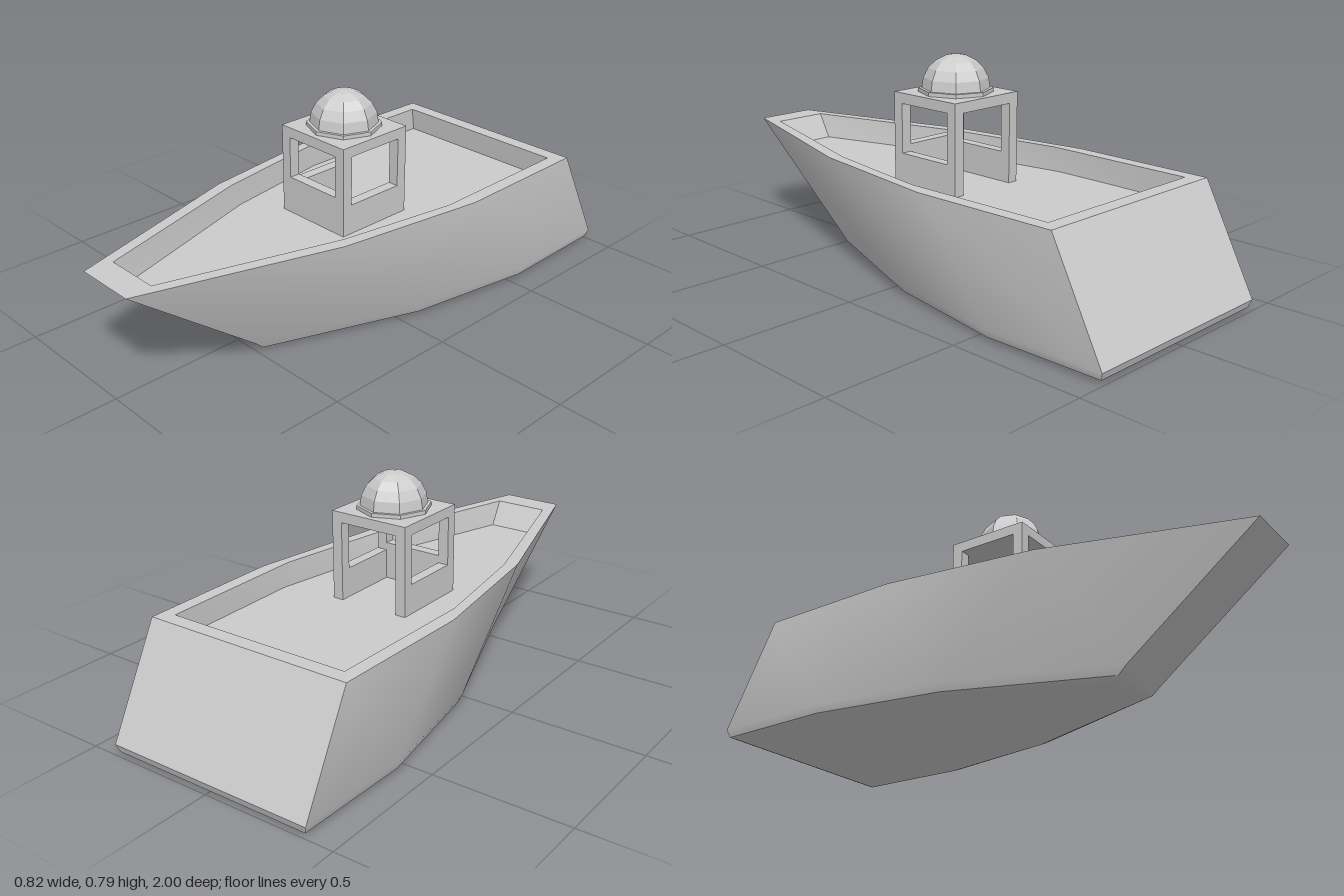
import * as THREE from 'three';
import { toCreasedNormals } from 'three/addons/utils/BufferGeometryUtils.js';

const DECK = 0.33, CABIN_Z = -0.01;

// Mirrors four half-outline points [x, z] (stern to bow) into a closed loop at height y
function ring(y, half) {
  const left = half.map(([x, z]) => [x, y, z]);
  const right = half.map(([x, z]) => [-x, y, z]).reverse();
  return [...left, ...right];
}

// Skins consecutive rings and closes the first and last with flat caps
function loft(rings) {
  const pos = [];
  const quad = (a, b, c, d) => pos.push(...a, ...b, ...c, ...a, ...c, ...d);
  const n = rings[0].length;
  for (let r = 0; r < rings.length - 1; r++) {
    const lo = rings[r], hi = rings[r + 1];
    for (let i = 0; i < n; i++) {
      const j = (i + 1) % n;
      quad(lo[i], hi[i], hi[j], lo[j]);
    }
  }
  const first = rings[0], last = rings[rings.length - 1];
  for (let i = 0; i < n / 2 - 1; i++) {
    const k = n - 1 - i;
    quad(last[i], last[k], last[k - 1], last[i + 1]);
    quad(first[i], first[i + 1], first[k - 1], first[k]);
  }
  const g = new THREE.BufferGeometry();
  g.setAttribute('position', new THREE.Float32BufferAttribute(pos, 3));
  return toCreasedNormals(g, 0.5);
}

export function createModel() {
  const model = new THREE.Group();
  model.name = 'boat';
  const smooth = new THREE.MeshStandardMaterial({ color: 0xcccccc });
  const faceted = new THREE.MeshStandardMaterial({ color: 0xcccccc, flatShading: true });

  const add = (parent, name, geometry, material, x = 0, y = 0, z = 0) => {
    const mesh = new THREE.Mesh(geometry, material);
    mesh.name = name;
    mesh.position.set(x, y, z);
    parent.add(mesh);
    return mesh;
  };

  // Hull: softened keel edge, raked sides, flat rim and recessed deck
  add(model, 'hull', loft([
    ring(0, [[0.36, -0.96], [0.37, -0.545], [0.295, -0.085], [0.1, 0.45]]),
    ring(0.012, [[0.39, -0.99], [0.4, -0.548], [0.32, -0.075], [0.112, 0.48]]),
    ring(0.04, [[0.4, -1], [0.41, -0.545], [0.33, -0.06], [0.115, 0.51]]),
    ring(0.42, [[0.4, -0.8], [0.41, -0.25], [0.33, 0.3], [0.115, 1]]),
    ring(0.42, [[0.35, -0.745], [0.36, -0.17], [0.29, 0.27], [0.103, 0.9]]),
    ring(DECK, [[0.35, -0.755], [0.36, -0.195], [0.29, 0.235], [0.1, 0.845]]),
  ]), smooth);

  // Cabin: posts, roof and sills leave windows on three sides and a doorway aft
  const cabin = new THREE.Group();
  cabin.name = 'cabin';
  cabin.position.z = CABIN_Z;
  model.add(cabin);
  const W = 0.31, D = 0.305, T = 0.04, EAVES = 0.62;
  const block = (name, w, y0, y1, d, x, z) =>
    add(cabin, name, new THREE.BoxGeometry(w, y1 - y0, d), smooth, x, (y0 + y1) / 2, z);
  const px = (W - T) / 2, pz = (D - T) / 2;
  for (const sx of [-1, 1]) {
    for (const sz of [-1, 1]) block('cornerPost', T, DECK, EAVES, T, sx * px, sz * pz);
    block('sideSill', T, DECK, 0.44, D - 2 * T, sx * px, 0);
  }
  block('frontSill', W - 2 * T, DECK, 0.468, T, 0, pz);
  block('roof', W, EAVES, 0.658, D, 0, 0);

  // Eight-sided dome on a thin plate
  add(cabin, 'domeBase', new THREE.CylinderGeometry(0.133, 0.133, 0.014, 8), faceted, 0, 0.665, 0);
  add(cabin, 'dome', new THREE.SphereGeometry(0.121, 8, 5, 0, Math.PI * 2, 0, Math.PI / 2), faceted, 0, 0.672, 0);

  return model;
}
